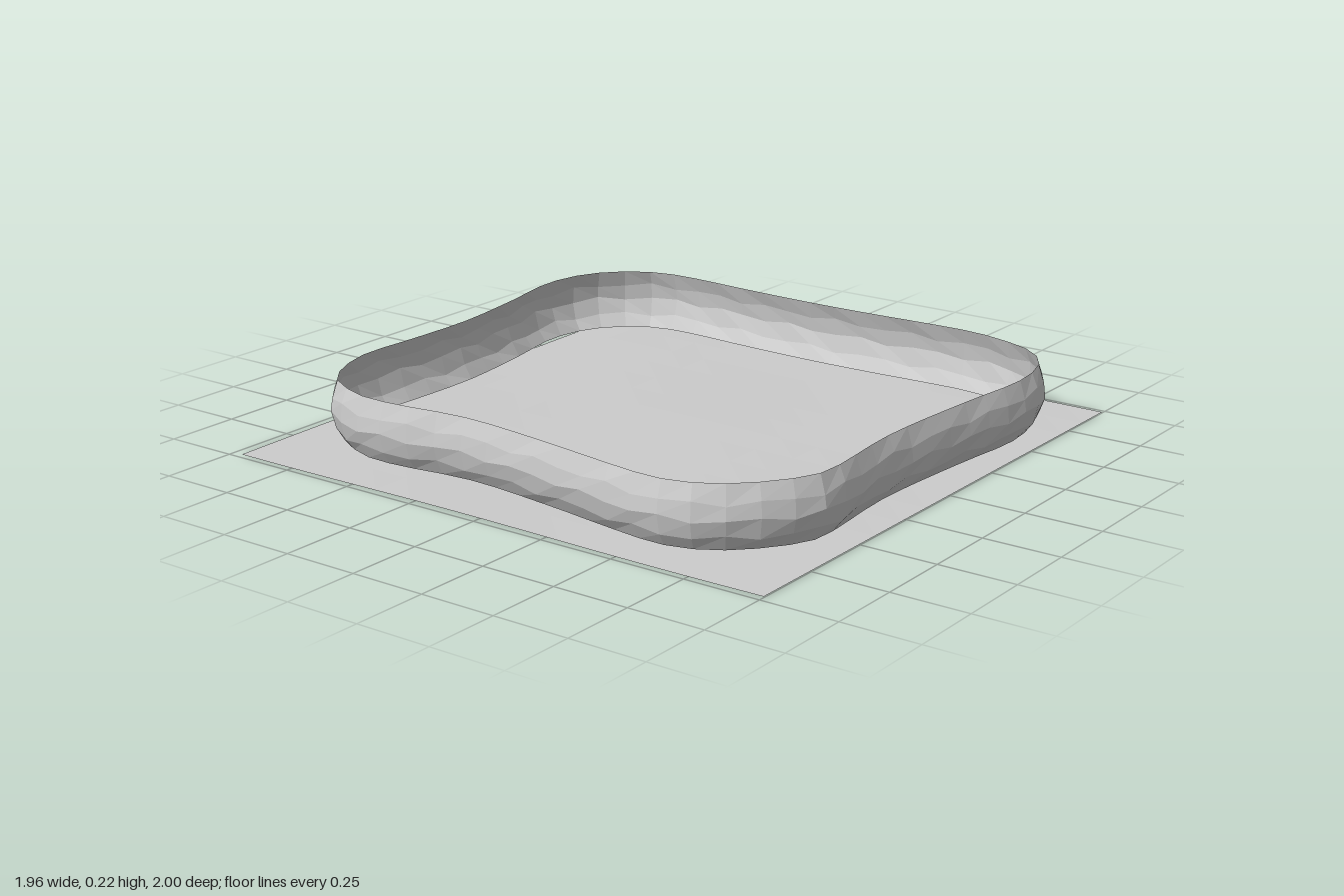
import * as THREE from 'three';

// Widest outline of the wall, as x, z pairs seen from above
const OUTLINE = [
  [-0.5, -0.92], [-0.25, -0.915], [0, -0.915], [0.29, -0.955], [0.56, -1.0], [0.74, -0.96],
  [0.86, -0.86], [0.92, -0.74], [0.93, -0.6], [0.915, -0.35], [0.905, -0.05], [0.91, 0.2],
  [0.92, 0.4], [0.92, 0.56], [0.89, 0.7], [0.84, 0.82], [0.75, 0.91], [0.63, 0.955],
  [0.49, 0.97], [0.24, 0.945], [-0.18, 0.92], [-0.53, 0.945], [-0.62, 0.93], [-0.79, 0.81],
  [-0.87, 0.7], [-0.905, 0.57], [-0.89, 0.4], [-0.845, 0.1], [-0.815, -0.21], [-0.845, -0.48],
  [-0.84, -0.61], [-0.76, -0.79], [-0.67, -0.86],
];

// Bulging wall section, bottom to top: inset from the outline, height
const SECTION = [[0.042, 0.017], [0.015, 0.06], [0, 0.115], [0.006, 0.165], [0.025, 0.22]];

const material = () => new THREE.MeshStandardMaterial({
  color: 0xcccccc, flatShading: true, side: THREE.DoubleSide,
});

// Sweep the section round the closed outline
function wallGeometry(steps = 68) {
  const curve = new THREE.CatmullRomCurve3(
    OUTLINE.map(([x, z]) => new THREE.Vector3(x, 0, z)), true);
  const positions = [], index = [], rows = SECTION.length;
  for (let i = 0; i < steps; i++) {
    const p = curve.getPointAt(i / steps), t = curve.getTangentAt(i / steps);
    SECTION.forEach(([inset, y], j) => {
      // small hand-made unevenness in the middle rows
      const wobble = j > 0 && j < rows - 1 ? 0.008 * Math.sin(i * 2.3 + j * 1.7) : 0;
      positions.push(p.x - t.z * inset, y + wobble, p.z + t.x * inset);
    });
  }
  for (let i = 0; i < steps; i++) {
    const n = (i + 1) % steps;
    for (let j = 0; j < rows - 1; j++) {
      const a = i * rows + j, b = n * rows + j;
      index.push(a, a + 1, b, b, a + 1, b + 1);
    }
  }
  const geometry = new THREE.BufferGeometry();
  geometry.setAttribute('position', new THREE.Float32BufferAttribute(positions, 3));
  geometry.setIndex(index);
  geometry.computeVertexNormals();
  return geometry;
}

// Thin, very slightly uneven ground sheet
function sheetGeometry() {
  const geometry = new THREE.PlaneGeometry(1.96, 1.965, 14, 14);
  geometry.rotateX(-Math.PI / 2).translate(0, 0, 0.0175);
  const pos = geometry.attributes.position;
  for (let i = 0; i < pos.count; i++) {
    const wave = Math.sin(pos.getX(i) * 5.1 + 1) * Math.sin(pos.getZ(i) * 4.3 + 2);
    pos.setY(i, 0.003 + 0.003 * wave);
  }
  geometry.computeVertexNormals();
  return geometry;
}

export function createModel() {
  const group = new THREE.Group();
  const add = (name, geometry) => {
    const mesh = new THREE.Mesh(geometry, material());
    mesh.name = name;
    group.add(mesh);
  };
  add('groundSheet', sheetGeometry());
  add('wall', wallGeometry());
  return group;
}
